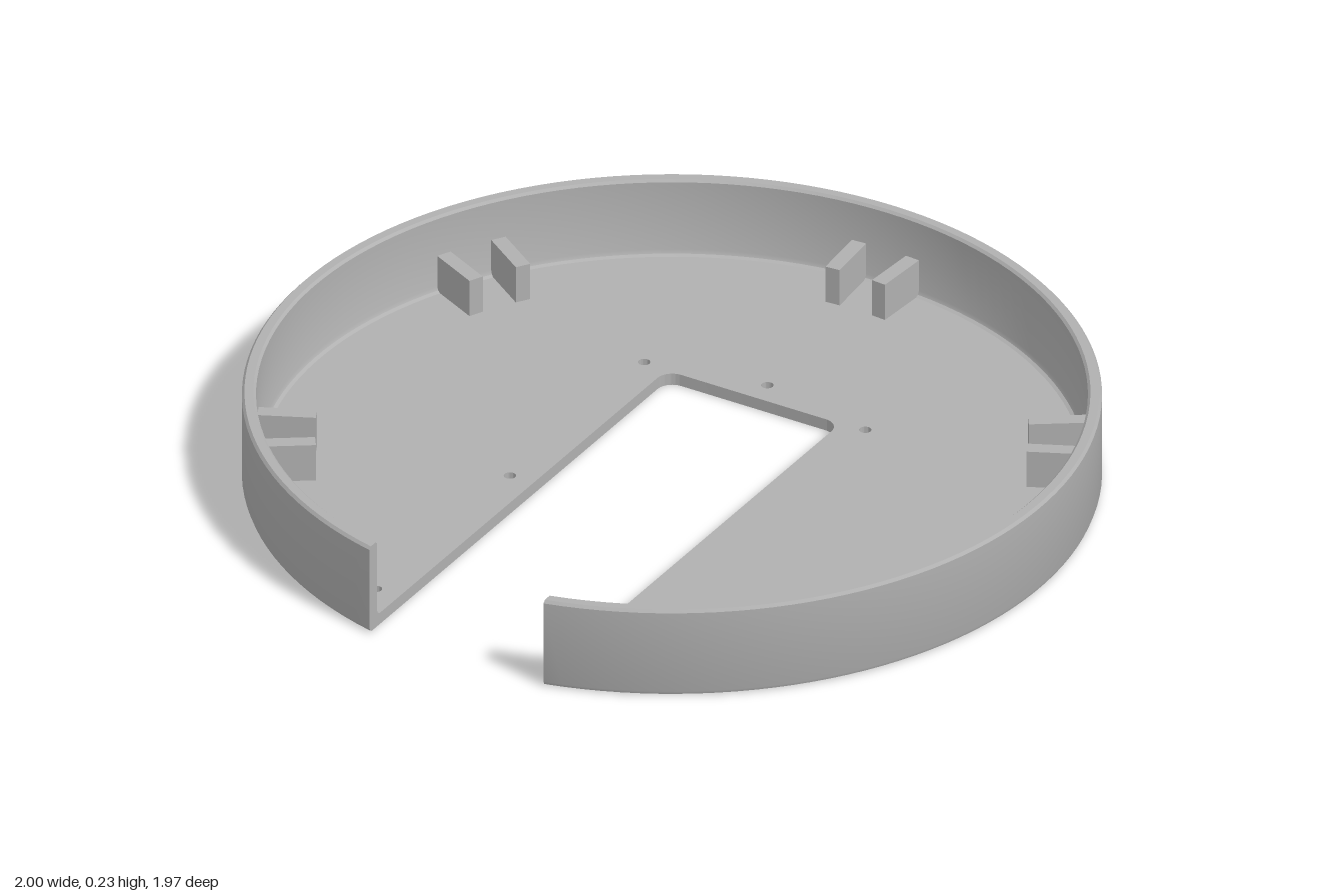
import * as THREE from 'three';
import { toCreasedNormals } from 'three/addons/utils/BufferGeometryUtils.js';

const SLOT = 0.236;      // half width of the slot
const SLOT_BACK = 0.367; // slot depth past the circle centre
const FLOOR_R = 0.955;
const FLOOR_H = 0.03;

export function createModel() {
  const grey = new THREE.MeshStandardMaterial({ color: 0xb0b0b0, side: THREE.DoubleSide });
  grey.name = 'grey plastic';
  const model = new THREE.Group();
  model.name = 'slottedTray';
  const body = new THREE.Group();
  body.name = 'trayBody';
  body.position.z = 0.014;
  model.add(body);

  const add = (name, geometry) => {
    const mesh = new THREE.Mesh(geometry, grey);
    mesh.name = name;
    body.add(mesh);
    return mesh;
  };

  // Floor: disc with a round-cornered slot and screw holes
  const a = Math.asin(SLOT / FLOOR_R);
  const c = 0.04;
  const plan = new THREE.Shape();
  plan.absarc(0, 0, FLOOR_R, -Math.PI / 2 + a, Math.PI * 1.5 - a, false);
  plan.lineTo(-SLOT, SLOT_BACK - c);
  plan.absarc(-SLOT + c, SLOT_BACK - c, c, Math.PI, Math.PI / 2, true);
  plan.lineTo(SLOT - c, SLOT_BACK);
  plan.absarc(SLOT - c, SLOT_BACK - c, c, Math.PI / 2, 0, true);
  plan.closePath();
  const screwHoles = [[-0.3, 0.373], [0.3, 0.373], [0, 0.43], [-0.3, -0.232], [-0.3, -0.836], [0.3, -0.836]];
  for (const [x, y] of screwHoles) {
    plan.holes.push(new THREE.Path().absarc(x, y, 0.0145, 0, Math.PI * 2, true));
  }
  const floor = new THREE.ExtrudeGeometry(plan, { depth: FLOOR_H, bevelEnabled: false, curveSegments: 64 });
  floor.rotateX(-Math.PI / 2);
  add('floor', toCreasedNormals(floor, 0.5));

  // Wall: profile swept round the disc, with its ends trimmed flat along the slot
  const profile = [
    [FLOOR_R, 0], [0.99, 0], [0.997, 0.004], [1, 0.012], [1, 0.223], [0.994, 0.23],
    [0.973, 0.23], [0.967, 0.224], [0.967, 0.043], [0.963, 0.034], [FLOOR_R, FLOOR_H],
  ].map(([r, y]) => new THREE.Vector2(r, y));
  const steps = 128;
  const wall = new THREE.LatheGeometry(profile, steps);
  const pos = wall.attributes.position;
  for (let i = 0; i < pos.count; i++) {
    const { x: r, y } = profile[i % profile.length];
    const t = Math.floor(i / profile.length) / steps;
    const start = Math.asin(SLOT / r);
    const phi = start + t * (Math.PI * 2 - 2 * start);
    pos.setXYZ(i, r * Math.sin(phi), y, r * Math.cos(phi));
  }
  add('wall', toCreasedNormals(wall, 0.5));

  // Flat wall ends either side of the slot
  const section = new THREE.Shape(profile.map((p) => new THREE.Vector2(Math.sqrt(p.x * p.x - SLOT * SLOT), p.y)));
  for (const side of [-1, 1]) {
    const end = new THREE.ShapeGeometry(section);
    end.rotateY(-Math.PI / 2);
    add(side > 0 ? 'leftWallEnd' : 'rightWallEnd', end).position.x = side * SLOT;
  }

  // Five pairs of radial ribs standing against the wall
  for (const degrees of [-30, 30, 90, 150, 210]) {
    for (const offset of [-4.3, 4.3]) {
      const rib = new THREE.BoxGeometry(0.145, 0.105, 0.037);
      rib.translate(0.9025, 0.0725, 0);
      add('rib', rib).rotation.y = THREE.MathUtils.degToRad(degrees + offset);
    }
  }
  return model;
}
